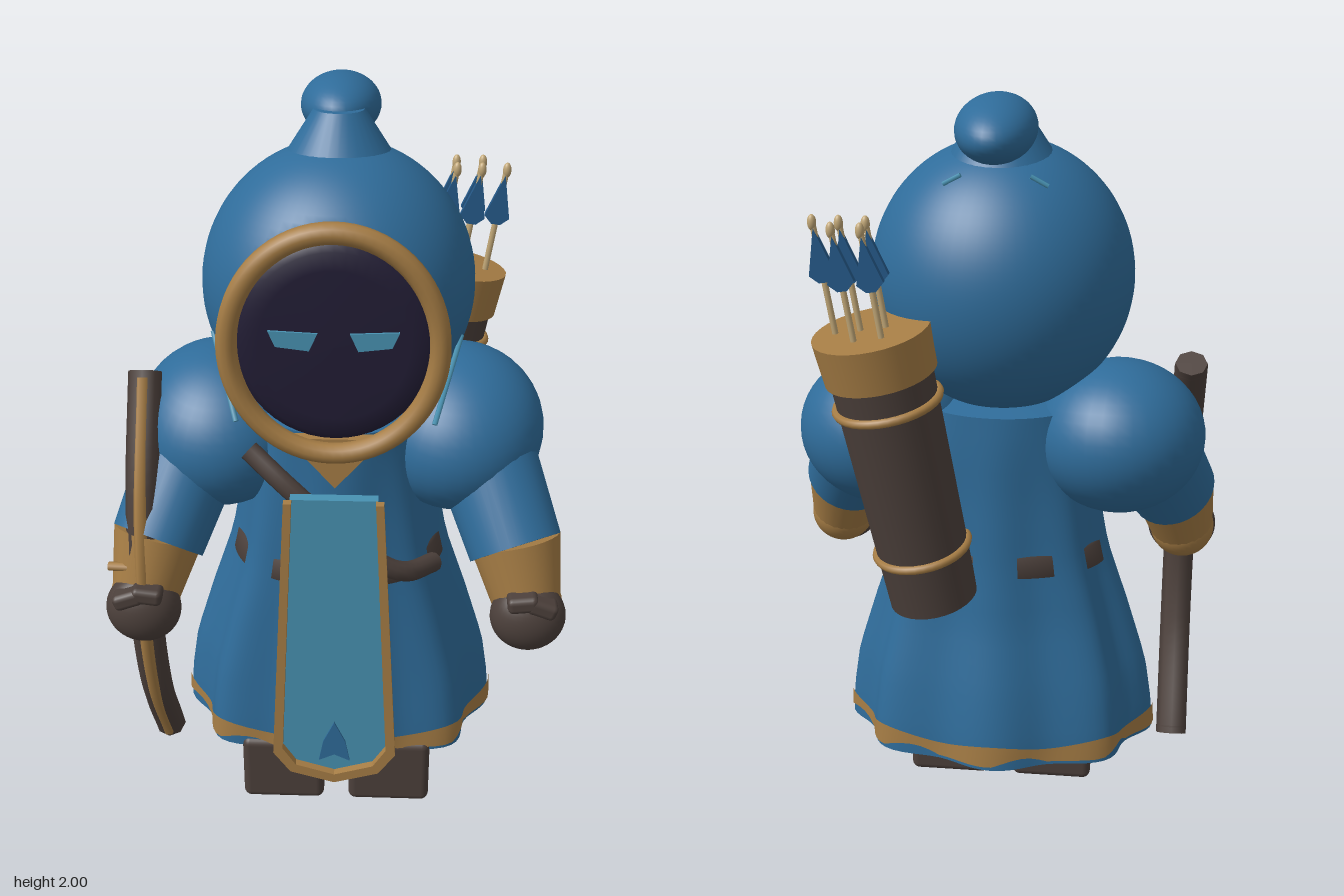
import * as THREE from 'three';
import { RoundedBoxGeometry } from 'three/addons/geometries/RoundedBoxGeometry.js';

const V = (x, y, z) => new THREE.Vector3(x, y, z);
const mat = (name, color, side = THREE.FrontSide) => {
  const m = new THREE.MeshStandardMaterial({ color, side });
  m.name = name;
  return m;
};

export function createModel() {
  const root = new THREE.Group();
  root.name = 'hoodedArcher';
  const blue = mat('robeBlue', 0x2f6c9a);
  const lightBlue = mat('panelBlue', 0x4892b2);
  const tan = mat('tanTrim', 0xa67d45);
  const brown = mat('darkLeather', 0x4c403b);
  const navy = mat('faceShadow', 0x221d35);
  const cream = mat('arrowWood', 0xc2a878);
  const feather = mat('featherBlue', 0x255a8a, THREE.DoubleSide);

  const add = (name, geo, m, pos) => {
    const mesh = new THREE.Mesh(geo, m);
    mesh.name = name;
    if (pos) mesh.position.copy(pos);
    root.add(mesh);
    return mesh;
  };
  const ball = (name, m, pos, rx, ry, rz) =>
    add(name, new THREE.SphereGeometry(1, 36, 24).scale(rx, ry, rz), m, pos);
  // tapered cylinder between two points
  const limb = (name, m, a, b, ra, rb, sides = 24) => {
    const mesh = add(name, new THREE.CylinderGeometry(rb, ra, a.distanceTo(b), sides), m,
      a.clone().add(b).multiplyScalar(0.5));
    mesh.quaternion.setFromUnitVectors(V(0, 1, 0), b.clone().sub(a).normalize());
    return mesh;
  };
  const tube = (name, m, pts, r, closed = false, segs = 32, sides = 10) =>
    add(name, new THREE.TubeGeometry(new THREE.CatmullRomCurve3(pts, closed), segs, r, sides, closed), m);
  const shape = (pts) => new THREE.Shape(pts.map(([x, y]) => new THREE.Vector2(x, y)));
  const plate = (name, m, s, z, depth) =>
    add(name, new THREE.ExtrudeGeometry(s, { depth, bevelEnabled: false }), m, V(0, 0, z));
  // surface through closed rings, listed from bottom to top
  const loft = (name, m, rings, n = 96) => {
    const pos = [], idx = [];
    rings.forEach((ring, r) => {
      for (let i = 0; i < n; i++) {
        pos.push(...ring((i / n) * Math.PI * 2));
        if (r === rings.length - 1) continue;
        const a = r * n + i, b = r * n + ((i + 1) % n);
        idx.push(a, a + n, b, b, a + n, b + n);
      }
    });
    const g = new THREE.BufferGeometry();
    g.setAttribute('position', new THREE.Float32BufferAttribute(pos, 3));
    g.setIndex(idx);
    g.computeVertexNormals();
    return add(name, g, m);
  };

  // pleated robe: height, half width, front depth, back depth, pleat strength
  const profile = [
    [0.185, 0.416, 0.302, 0.264, 0.055], [0.26, 0.413, 0.299, 0.26, 0.055],
    [0.4, 0.393, 0.288, 0.237, 0.053], [0.58, 0.342, 0.276, 0.198, 0.047],
    [0.76, 0.286, 0.266, 0.178, 0.038], [0.95, 0.255, 0.262, 0.17, 0.025],
    [1.1, 0.235, 0.262, 0.17, 0.012], [1.19, 0.23, 0.262, 0.165, 0],
  ];
  const robePoint = (t, y, off = 0, pleat = 1, scale = 1) => {
    let k = 0;
    while (k < profile.length - 2 && y > profile[k + 1][0]) k++;
    const f = (y - profile[k][0]) / (profile[k + 1][0] - profile[k][0]);
    const [, w, front, back, amp] = profile[k].map((v, i) => v + (profile[k + 1][i] - v) * f);
    const c = Math.cos(t), s = Math.sin(t);
    const wave = (1 + pleat * amp * Math.cos(8 * t)) * scale;
    // the front is a little squarer than the back
    const soft = (v) => Math.sign(v) * Math.pow(Math.abs(v), s > 0 ? 0.86 : 1);
    return [soft(c) * (w * wave + off), y, soft(s) * ((s > 0 ? front : back) * wave + off)];
  };
  const ringAt = (y, off, pleat, scale) => (t) => robePoint(t, y, off, pleat, scale);
  const heights = Array.from({ length: 21 }, (_, i) => 0.185 + i * 0.05025);
  loft('robe', blue, heights.map((y) => ringAt(y)));
  loft('robeUnderside', blue, [ringAt(0.2, 0, 1, 0.02), ringAt(0.185)]);
  loft('robeTop', blue, [ringAt(1.19), (t) => [0.02 * Math.cos(t), 1.21, 0.02 * Math.sin(t)]]);
  loft('hemTrim', tan, [
    (t) => robePoint(t, 0.197 + 0.022 * Math.max(0, Math.cos(8 * t + 1.5)), 0.005),
    (t) => robePoint(t, 0.25 + 0.012 * Math.cos(8 * t), 0.005),
  ]);
  loft('belt', brown, [0.73, 0.735, 0.795, 0.8].map((y, i) =>
    ringAt(y, i % 3 ? -0.001 : -0.02, 0)));

  // boots
  for (const s of [-1, 1])
    add('boot', new RoundedBoxGeometry(0.23, 0.21, 0.31, 3, 0.022), brown, V(s * 0.15, 0.105, 0.115));

  // collar trim, chest strap and front panel
  plate('collarTrim', tan, shape([[-0.12, 1.2], [0, 1.06], [0.12, 1.2]]), 0.275, 0.03);
  tube('chestStrap', brown, [V(-0.22, 1.13, 0.24), V(-0.11, 1.04, 0.285), V(0.1, 0.84, 0.29), V(0.18, 0.79, 0.265), V(0.26, 0.76, 0.17)], 0.027);
  const panel = [[-0.11, 1.06], [-0.15, 0.28], [-0.115, 0.21], [0, 0.158], [0.115, 0.21], [0.15, 0.28], [0.11, 1.06]];
  plate('frontPanel', lightBlue, shape(panel), 0.335, 0.03);
  const frame = shape([[-0.125, 1.06], [-0.166, 0.27], [-0.12, 0.205], [0, 0.17], [0.12, 0.205],
    [0.166, 0.27], [0.125, 1.06], [0.105, 1.06], [0.14, 0.285], [0.105, 0.23], [0, 0.198],
    [-0.105, 0.23], [-0.14, 0.285], [-0.105, 1.06]]);
  plate('panelTrim', tan, frame, 0.365, 0.022);
  plate('panelFlame', blue, shape([[0, 0.365], [-0.03, 0.3], [-0.042, 0.235], [0, 0.255], [0.042, 0.235], [0.03, 0.3]]), 0.365, 0.006);

  // hood: a ball cut flat at the face, with a drooping tip
  const hoodGeo = new THREE.SphereGeometry(1, 64, 48).scale(0.342, 0.355, 0.335).translate(0, 1.515, 0.045);
  const hp = hoodGeo.attributes.position;
  for (let i = 0; i < hp.count; i++) hp.setZ(i, Math.min(hp.getZ(i), 0.298));
  hoodGeo.computeVertexNormals();
  add('hood', hoodGeo, blue);
  limb('hoodPeak', blue, V(0, 1.825, 0.015), V(0, 1.942, 0.01), 0.138, 0.062, 32);
  ball('hoodTip', blue, V(0, 1.92, -0.117), 0.1, 0.077, 0.167).rotation.x = -0.08;
  for (const s of [-1, 1]) {
    limb('hoodSeam', lightBlue, V(s * 0.308, 1.42, 0.155), V(s * 0.245, 1.235, 0.285), 0.007, 0.007, 6);
    limb('rearSeam', lightBlue, V(s * 0.085, 1.81, -0.14), V(s * 0.128, 1.787, -0.14), 0.006, 0.006, 6);
  }
  const rim = Array.from({ length: 24 }, (_, i) => {
    const t = (i / 24) * Math.PI * 2;
    return V(0.25 * Math.cos(t), 1.48 + 0.28 * Math.sin(t), 0.375);
  });
  tube('hoodRim', tan, rim, 0.026, true, 72);

  // shadowed face and eyes
  const facePts = [[0, -0.02], [0.225, -0.018], [0.242, 0.008], [0.238, 0.022], [0.22, 0.035], [0.18, 0.043], [0, 0.046]];
  add('face', new THREE.LatheGeometry(facePts.map(([x, y]) => new THREE.Vector2(x, y)), 48)
    .rotateX(Math.PI / 2).scale(1, 1.06, 1), navy, V(0, 1.468, 0.305));
  for (const s of [-1, 1])
    plate('eye', lightBlue, shape([[s * 0.038, 1.505], [s * 0.155, 1.51], [s * 0.138, 1.47], [s * 0.058, 1.46]]), 0.346, 0.009);

  // arms
  for (const s of [-1, 1]) {
    ball('shoulder', blue, V(s * 0.315, 1.092, 0.003), 0.23, 0.207, 0.25).rotation.x = 0.25;
    limb('sleeve', blue, V(s * 0.385, 1.05, 0.08), V(s * 0.47, 0.845, 0.222), 0.135, 0.124, 32);
    limb('forearm', tan, V(s * 0.468, 0.865, 0.212), V(s * 0.505, 0.705, 0.268), 0.12, 0.09);
    ball('wrist', tan, V(s * 0.505, 0.705, 0.268), 0.092, 0.092, 0.092);
    ball('hand', brown, V(s * 0.505, 0.692, 0.31), 0.099, 0.098, 0.076);
    for (const [x, y, tilt] of [[0.485, 0.762, 0.12], [0.535, 0.75, -0.35]])
      add('finger', new RoundedBoxGeometry(0.08, 0.045, 0.06, 2, 0.015), brown, V(s * x, y, 0.352))
        .rotation.z = s * tilt;
  }

  // bow
  const arc = (d) => [V(-0.5, 0.11, 0.075 + d), V(-0.5, 0.4, 0.245 + d), V(-0.5, 0.69, 0.305 + d),
    V(-0.5, 0.99, 0.245 + d), V(-0.5, 1.27, 0.085 + d)];
  const limbs = arc(0);
  tube('bow', brown, limbs, 0.044, false, 40, 8);
  tube('bowInlay', tan, arc(0.036), 0.018, false, 40, 6);
  for (const [a, b] of [[1, 0], [3, 4]]) {
    const d = limbs[b].clone().sub(limbs[a]).normalize();
    limb('bowEnd', brown, limbs[b].clone().addScaledVector(d, -0.02), limbs[b].clone().addScaledVector(d, 0.002), 0.044, 0.043, 8);
  }
  limb('arrowRest', tan, V(-0.59, 0.81, 0.3), V(-0.5, 0.82, 0.32), 0.012, 0.012, 8);

  // quiver, with bands placed along its slanted axis
  const low = V(0.163, 0.685, -0.193), top = V(0.295, 1.45, -0.256);
  const along = (f) => low.clone().lerp(top, f);
  limb('quiver', brown, low, along(0.95), 0.118, 0.132, 32);
  limb('quiverRim', tan, along(0.85), top, 0.143, 0.15, 32);
  const axis = top.clone().sub(low).normalize();
  for (const [f, r] of [[0.2, 0.122], [0.75, 0.132]])
    add('quiverBand', new THREE.TorusGeometry(r, 0.012, 8, 36), tan, along(f))
      .quaternion.setFromUnitVectors(V(0, 0, 1), axis);

  // arrows
  for (const [x, z] of [[0.3, -0.25], [0.365, -0.25], [0.43, -0.25], [0.3, -0.318], [0.37, -0.318]]) {
    limb('arrowShaft', cream, V(x - 0.05, 1.4, z), V(x, 1.72, z), 0.008, 0.008, 8);
    ball('arrowNock', cream, V(x, 1.712, z), 0.011, 0.02, 0.011);
    const fletch = plate('fletching', feather, shape([[0, 0.07], [-0.033, -0.045], [-0.012, -0.065], [0.012, -0.065], [0.033, -0.045]]), 0, 0.018);
    fletch.position.set(x - 0.014, 1.63, z - 0.009);
    fletch.rotation.z = -0.15;
  }
  return root;
}
